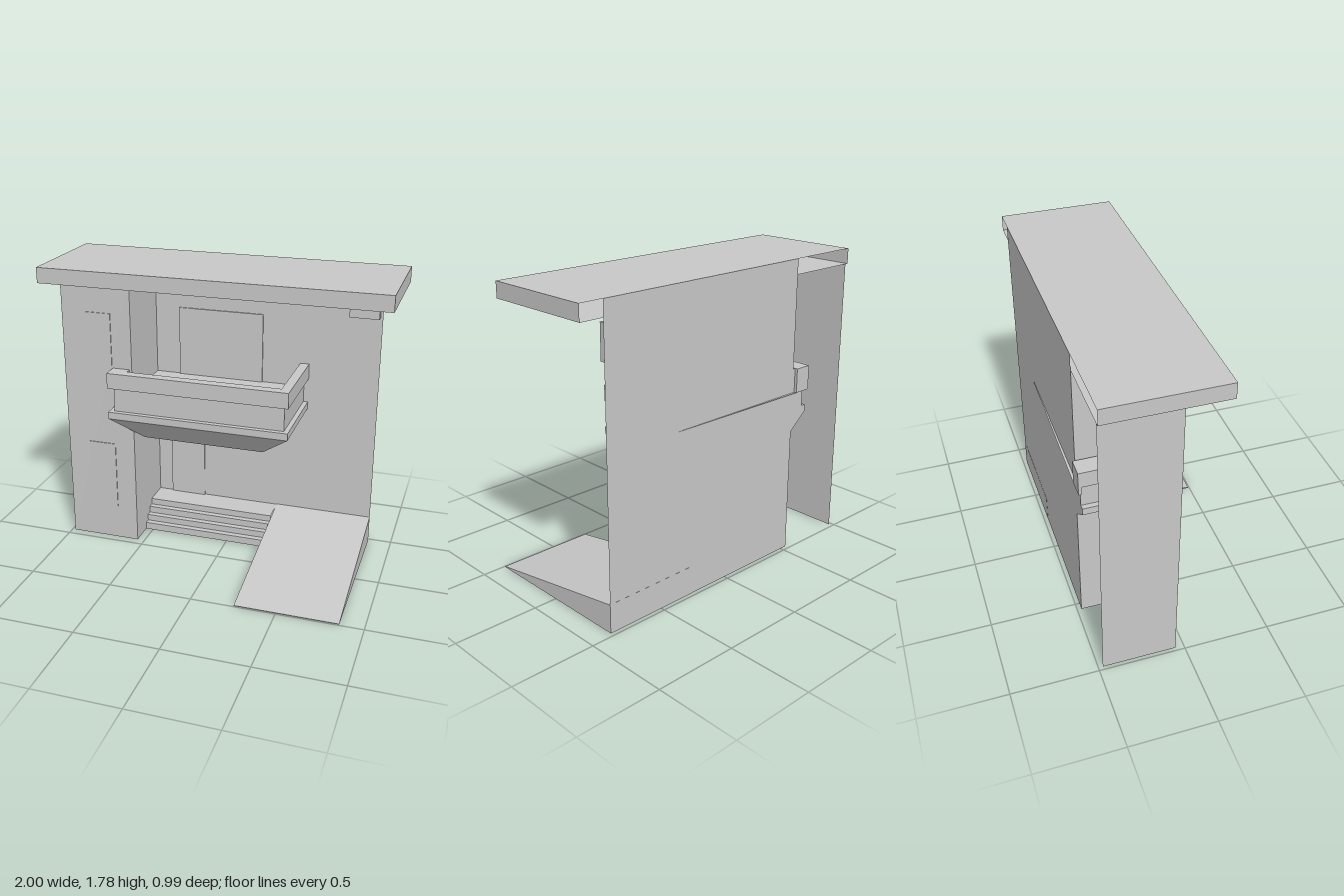
import * as THREE from 'three';

const plaster = new THREE.MeshStandardMaterial({ color: 0xc8c8c8, side: THREE.DoubleSide });
plaster.name = 'plaster';

// Box given by its limits on each axis
function box(name, x0, x1, y0, y1, z0, z1) {
  const m = new THREE.Mesh(new THREE.BoxGeometry(x1 - x0, y1 - y0, z1 - z0), plaster);
  m.position.set((x0 + x1) / 2, (y0 + y1) / 2, (z0 + z1) / 2);
  m.name = name;
  return m;
}

// Flat-sided surface from four-cornered faces
function faces(name, quads) {
  const pos = [];
  for (const [a, b, c, d] of quads) pos.push(...a, ...b, ...c, ...a, ...c, ...d);
  const g = new THREE.BufferGeometry();
  g.setAttribute('position', new THREE.Float32BufferAttribute(pos, 3));
  g.computeVertexNormals();
  const m = new THREE.Mesh(g, plaster);
  m.name = name;
  return m;
}

// Upright sheet above the plan segment (xa, za) - (xb, zb)
const upright = (xa, za, xb, zb, y0, y1) =>
  [[xa, y0, za], [xb, y0, zb], [xb, y1, zb], [xa, y1, za]];
// Level sheet, facing up
const level = (x0, x1, z0, z1, y) =>
  [[x0, y, z1], [x1, y, z1], [x1, y, z0], [x0, y, z0]];

const BACK = -0.475;

// Balcony: rectangular rings [y, x0, x1, front z, back z], bottom to inner floor
function balcony() {
  const rings = [
    [0.71, -0.485, 0.26, -0.075], [0.857, -0.665, 0.435, 0.05],
    [0.9, -0.665, 0.435, 0.05], [0.9, -0.635, 0.407, 0.02],
    [1.05, -0.635, 0.407, 0.02], [1.05, -0.665, 0.435, 0.05],
    [1.145, -0.665, 0.435, 0.05], [1.145, -0.56, 0.38, -0.01],
    [1.0, -0.56, 0.38, -0.01],
  ].map(([y, x0, x1, zf]) => [[x0, y, BACK], [x0, y, zf], [x1, y, zf], [x1, y, BACK]]);
  const quads = [[...rings[0]].reverse(), rings[rings.length - 1]];
  for (let r = 0; r < rings.length - 1; r++) {
    for (let i = 0; i < 4; i++) {
      const j = (i + 1) % 4;
      quads.push([rings[r][i], rings[r][j], rings[r + 1][j], rings[r + 1][i]]);
    }
  }
  return faces('balcony', quads);
}

export function createModel() {
  const model = new THREE.Group();
  model.name = 'buildingFacade';

  // Thin back wall
  model.add(faces('backWall', [upright(-0.545, BACK, 0.86, BACK, 0, 1.785)]));

  // Pier, open behind
  model.add(faces('pier', [
    upright(-0.98, BACK, -0.98, -0.05, 0, 1.695),
    upright(-0.98, -0.05, -0.545, -0.05, 0, 1.695),
    upright(-0.545, -0.05, -0.545, BACK, 0, 1.695),
  ]));

  // Roof slab, hollow and open behind
  model.add(faces('roof', [
    level(-1, 1, BACK, 0.19, 1.785),
    level(-1, 1, BACK, 0.19, 1.695).reverse(),
    upright(-1, BACK, -1, 0.19, 1.695, 1.785),
    upright(-1, 0.19, 1, 0.19, 1.695, 1.785),
    upright(1, 0.19, 1, BACK, 1.695, 1.785),
  ]));

  // Balcony with a rail end and floor edge that poke slightly through the wall
  model.add(balcony());
  model.add(box('railEnd', -0.665, -0.56, 1.0, 1.145, -0.492, BACK));
  model.add(faces('floorEdge', [
    [[-0.56, 1.0, -0.492], [-0.56, 1.0, BACK], [0.38, 1.0, BACK], [0.38, 1.0, -0.478]],
  ]));

  // Doors and pier windows as thin plates
  model.add(box('balconyDoor', -0.39, 0.145, 1.0, 1.43, -0.473, -0.465));
  model.add(box('entranceDoor', -0.455, -0.23, 0.165, 0.6, -0.473, -0.465));
  for (const y of [0.22, 1.05]) {
    model.add(box('pierWindow', -0.84, -0.67, y, y + 0.43, -0.049, -0.044));
  }

  // Small wall unit under the roof
  model.add(box('wallUnit', 0.67, 0.845, 1.47, 1.665, -0.474, -0.43));

  // Steps: treads and risers, open underneath
  const heights = [0, 0.045, 0.085, 0.127, 0.167];
  const stepFaces = [];
  for (let i = 0; i < 4; i++) {
    const z = -0.2 - i * 0.036;
    const zBack = i < 3 ? z - 0.036 : BACK;
    stepFaces.push(upright(-0.545, z, 0.258, z, heights[i], heights[i + 1]));
    stepFaces.push(level(-0.545, 0.258, zBack, z, heights[i + 1]));
  }
  model.add(faces('steps', stepFaces));

  // Ramp: wedge with a thin front lip
  const side = new THREE.Shape([
    new THREE.Vector2(-0.493, 0), new THREE.Vector2(0.476, 0),
    new THREE.Vector2(0.476, 0.17), new THREE.Vector2(-0.493, 0.004),
  ]);
  const rampGeo = new THREE.ExtrudeGeometry(side, { depth: 0.604, bevelEnabled: false });
  rampGeo.rotateY(Math.PI / 2);
  const ramp = new THREE.Mesh(rampGeo, plaster);
  ramp.position.x = 0.256;
  ramp.name = 'ramp';
  model.add(ramp);

  return model;
}
